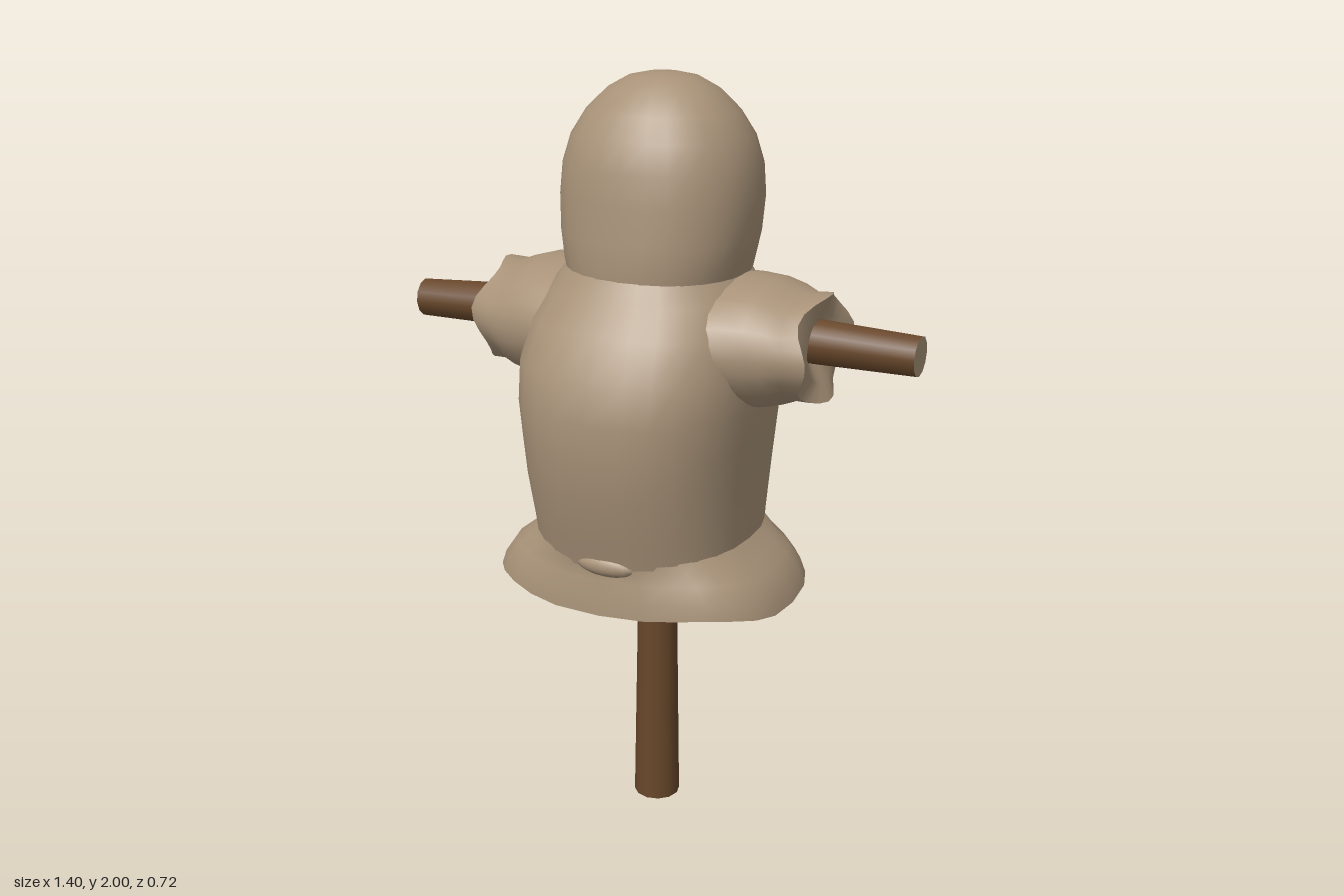
import * as THREE from 'three';

const cloth = new THREE.MeshStandardMaterial({ color: 0xa89278, side: THREE.DoubleSide });
cloth.name = 'burlap';
const wood = new THREE.MeshStandardMaterial({ color: 0x68472a });
wood.name = 'wood';
const SEG = 28;

// Smooth skin over rings [y, rx, rz, cz, exponent, wave, phase], listed bottom to top
function loft(name, rings, capTop = false) {
  const pos = [], idx = [];
  for (const [y, rx, rz, cz = 0, n = 2, wave = 0, phase = 0] of rings) {
    for (let j = 0; j < SEG; j++) {
      const t = (j / SEG) * Math.PI * 2, c = Math.cos(t), s = Math.sin(t);
      const p = (v) => Math.sign(v) * Math.pow(Math.abs(v), 2 / n);
      pos.push(rx * p(c), y + wave * Math.cos(4 * t + phase), cz + rz * p(s));
    }
  }
  for (let i = 0; i < rings.length - 1; i++) {
    for (let j = 0; j < SEG; j++) {
      const k = (j + 1) % SEG;
      const a = i * SEG + j, b = i * SEG + k, c = a + SEG, d = b + SEG;
      idx.push(a, c, b, b, c, d);
    }
  }
  if (capTop) {
    const last = rings[rings.length - 1], base = (rings.length - 1) * SEG;
    pos.push(0, last[0], last[3] || 0);
    for (let j = 0; j < SEG; j++) idx.push(base + j, base + SEG, base + ((j + 1) % SEG));
  }
  const g = new THREE.BufferGeometry();
  g.setAttribute('position', new THREE.Float32BufferAttribute(pos, 3));
  g.setIndex(idx);
  g.computeVertexNormals();
  const m = new THREE.Mesh(g, cloth);
  m.name = name;
  return m;
}

// Tapered pole between two points; the tip cap may have its own material
function pole(name, from, to, r0, r1, tip = wood) {
  const a = new THREE.Vector3(...from), b = new THREE.Vector3(...to);
  const dir = b.clone().sub(a);
  const m = new THREE.Mesh(new THREE.CylinderGeometry(r1, r0, dir.length(), 12), [wood, tip, wood]);
  m.position.copy(a).add(b).multiplyScalar(0.5);
  m.quaternion.setFromUnitVectors(new THREE.Vector3(0, 1, 0), dir.normalize());
  m.name = name;
  return m;
}

export function createModel() {
  const group = new THREE.Group();
  group.name = 'scarecrow';

  // Hooded head, tucked into the collar
  const head = loft('head', [
    [1.49, 0.225, 0.23, -0.035, 2.2],
    [1.55, 0.24, 0.235, -0.035, 2.2],
    [1.61, 0.252, 0.237, -0.042, 2.2],
    [1.7, 0.258, 0.238, -0.05, 2.2],
    [1.78, 0.252, 0.23, -0.052, 2.2],
    [1.85, 0.232, 0.21, -0.052, 2.15],
    [1.91, 0.195, 0.175, -0.052, 2.1],
    [1.96, 0.145, 0.13, -0.053],
    [1.99, 0.09, 0.08, -0.053],
    [2.0, 0.04, 0.035, -0.053],
  ], true);
  head.position.x = 0.005;
  group.add(head);

  // Stuffed torso
  group.add(loft('torso', [
    [0.77, 0.285, 0.28, 0, 2.4],
    [0.87, 0.288, 0.307, 0, 2.4],
    [1.0, 0.297, 0.338, 0.004, 2.4],
    [1.1, 0.305, 0.352, 0.002, 2.4],
    [1.2, 0.315, 0.36, 0, 2.4],
    [1.3, 0.315, 0.338, 0.003, 2.4],
    [1.4, 0.3, 0.295, -0.008, 2.3],
    [1.47, 0.272, 0.252, -0.025, 2.2],
    [1.52, 0.235, 0.232, -0.033, 2.2],
    [1.55, 0.21, 0.21, -0.035, 2.2],
  ]));

  // Flared hem and its closed underside
  const edge = [0.683, 0.41, 0.305, -0.005, 2.6, 0.012, Math.PI * 0.85];
  group.add(loft('hem', [
    edge,
    [0.725, 0.395, 0.3, -0.003, 2.6, 0.008, 2.6],
    [0.77, 0.365, 0.288, 0, 2.5, 0.006, 2.6],
    [0.8, 0.325, 0.286, 0, 2.4, 0.006, 2.6],
    [0.84, 0.28, 0.292, 0, 2.4],
  ]));
  group.add(loft('hemUnderside', [[0.71, 0.03, 0.03, -0.02], edge].reverse()));

  // Small bunched fold at the front of the waist
  const fold = new THREE.Mesh(new THREE.SphereGeometry(1, 16, 10), cloth);
  fold.name = 'waistFold';
  fold.scale.set(0.085, 0.03, 0.03);
  fold.position.set(0.01, 0.805, 0.272);
  group.add(fold);

  // Short sleeves with ragged, gathered cuffs
  for (const side of [1, -1]) {
    const sleeve = new THREE.Group();
    sleeve.name = side > 0 ? 'leftSleeve' : 'rightSleeve';
    const ph = side > 0 ? 0.3 : 0.9;
    const cuff = [0.455, 0.137, 0.168, -0.045, 2, 0.018, ph];
    sleeve.add(loft('sleeve', [
      [0.14, 0.15, 0.25, -0.04],
      [0.25, 0.167, 0.235, -0.045],
      [0.32, 0.164, 0.212, -0.043],
      [0.37, 0.15, 0.2, -0.042],
      [0.41, 0.133, 0.185, -0.042, 2, 0.008, ph],
      cuff,
    ]));
    sleeve.add(loft('cuffFace', [cuff, [0.45, 0.09, 0.1, -0.045], [0.425, 0.045, 0.045, -0.045]]));
    sleeve.rotation.z = -side * Math.PI / 2;
    sleeve.position.y = 1.355;
    group.add(sleeve);
  }

  // Wooden post and arms; the sawn arm ends are pale
  group.add(pole('post', [0.005, 0, -0.021], [0.007, 0.8, -0.02], 0.063, 0.05));
  group.add(pole('leftArm', [0.2, 1.372, -0.045], [0.7, 1.362, -0.053], 0.064, 0.051, cloth));
  group.add(pole('rightArm', [-0.2, 1.374, -0.025], [-0.7, 1.362, -0.003], 0.066, 0.051, cloth));

  return group;
}
